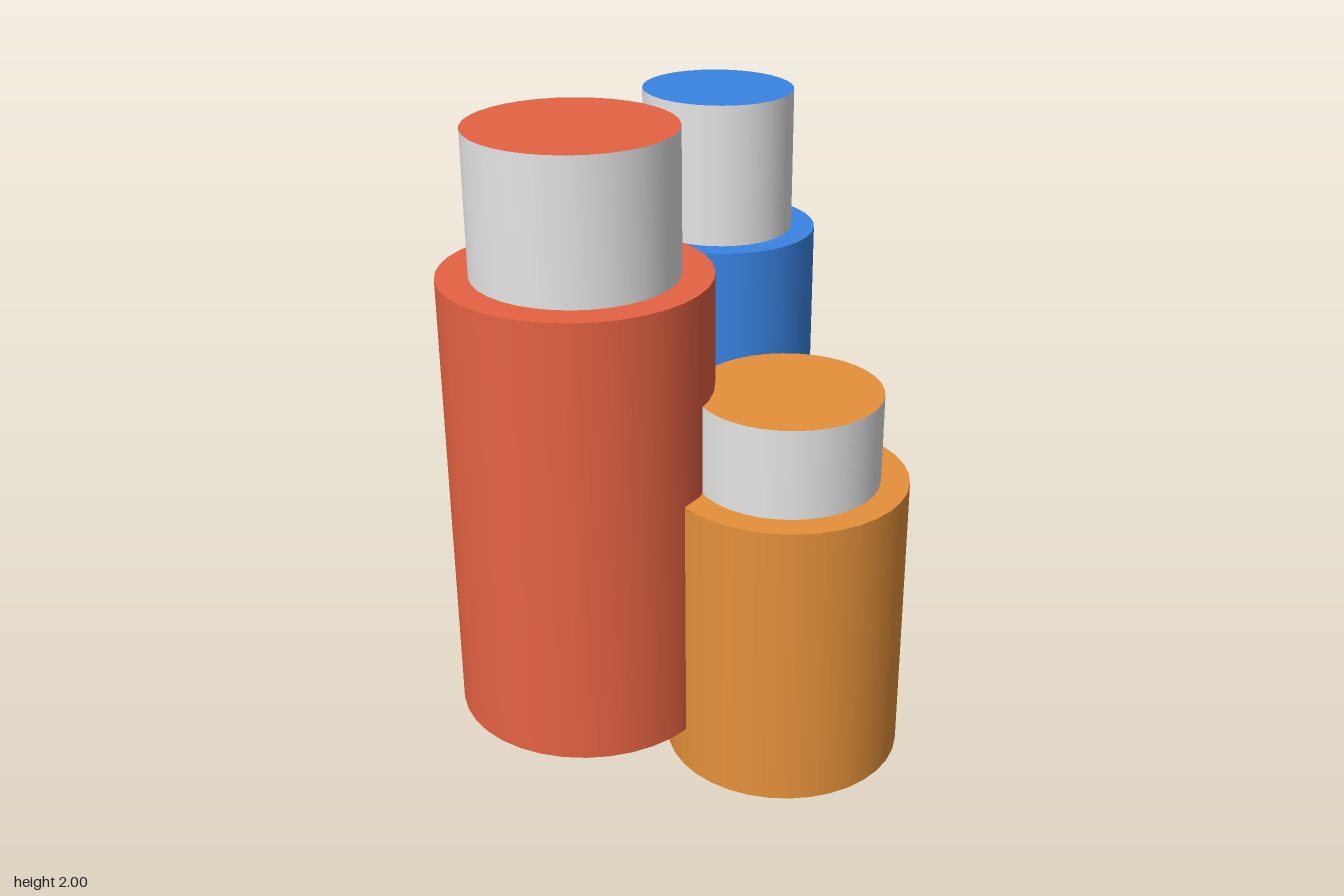
import * as THREE from 'three';

const SIDES = 36;

function makeMaterial(name, color) {
  const material = new THREE.MeshStandardMaterial({ color });
  material.name = name;
  return material;
}

// Upright cylinder between two heights, slightly oval where rx and rz differ
function column(name, rx, rz, bottom, top, materials) {
  const geometry = new THREE.CylinderGeometry(1, 1, top - bottom, SIDES);
  geometry.scale(rx, 1, rz);
  geometry.translate(0, (bottom + top) / 2, 0);
  const mesh = new THREE.Mesh(geometry, materials);
  mesh.name = name;
  return mesh;
}

export function createModel() {
  const model = new THREE.Group();
  model.name = 'cylinderCluster';

  const white = makeMaterial('white', 0xe5e5e5);
  const red = makeMaterial('red', 0xe56242);
  const blue = makeMaterial('blue', 0x3984e3);
  const orange = makeMaterial('orange', 0xe5913a);

  // body and neck: [x radius, z radius]; heights: bottom, shoulder, top
  const columns = [
    { name: 'tallRedColumn', color: red, x: -0.3, z: -0.245,
      body: [0.405, 0.41], neck: [0.308, 0.314], heights: [0.14, 1.565, 2] },
    { name: 'slimBlueColumn', color: blue, x: 0.4, z: -0.265,
      body: [0.3, 0.315], neck: [0.231, 0.24], heights: [0.105, 1.53, 1.97] },
    { name: 'shortOrangeColumn', color: orange, x: 0.047, z: 0.28,
      body: [0.372, 0.372], neck: [0.284, 0.285], heights: [0, 0.928, 1.212] },
  ];

  for (const { name, color, x, z, body, neck, heights } of columns) {
    const [bottom, shoulder, top] = heights;
    const group = new THREE.Group();
    group.name = name;
    group.position.set(x, 0, z);
    group.add(column('body', ...body, bottom, shoulder, color));
    // White neck wall with a coloured top
    group.add(column('neck', ...neck, shoulder, top, [white, color, color]));
    model.add(group);
  }

  return model;
}
